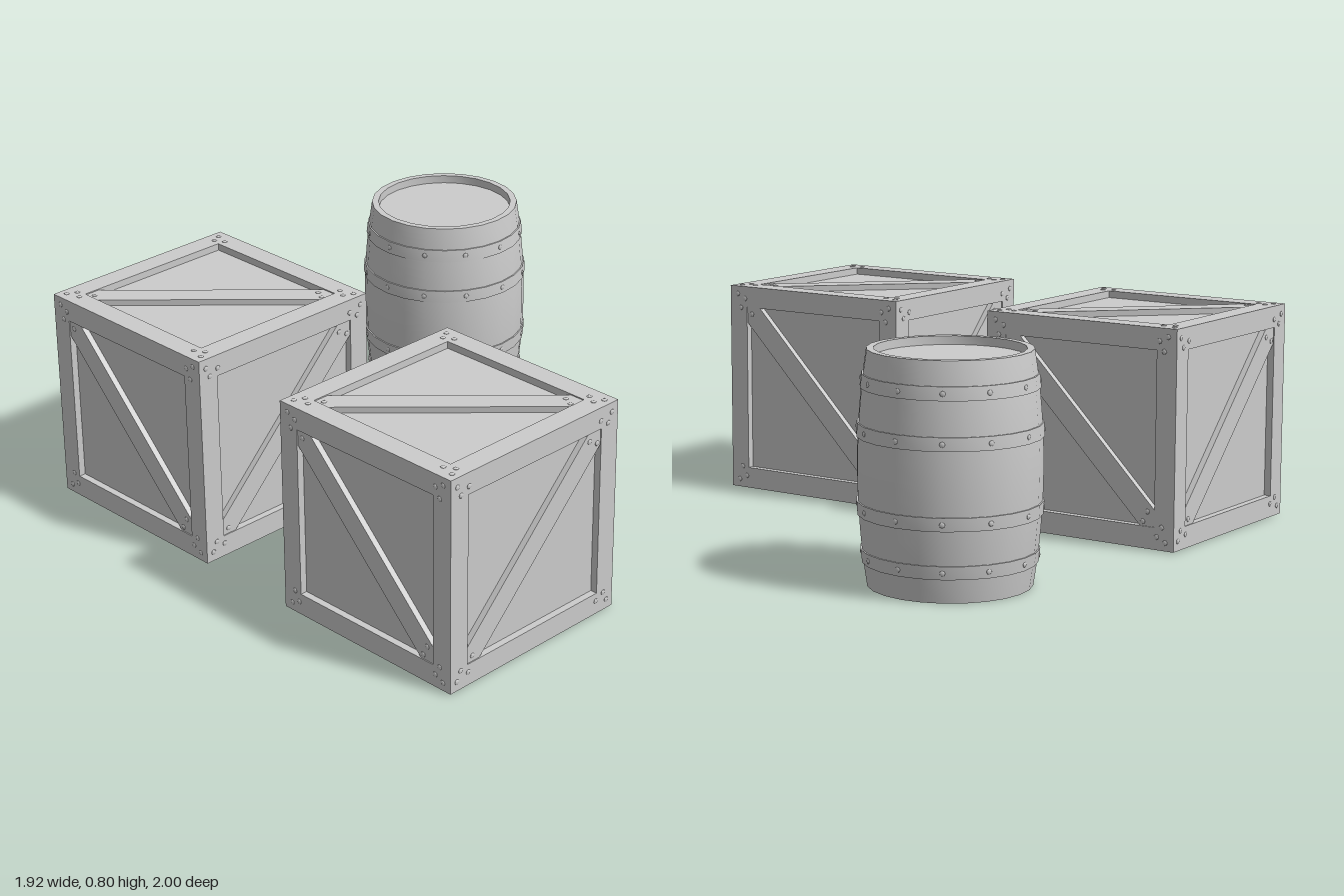
import * as THREE from 'three';
import { toCreasedNormals } from 'three/addons/utils/BufferGeometryUtils.js';

const material = new THREE.MeshStandardMaterial({ color: 0xcccccc });

const HALF = 0.396;    // crate half size, without bolt heads
const BEAM = 0.08;     // frame beam width
const PANEL = 0.37;    // half size of the recessed box
const INNER = HALF - BEAM;

// Low domed bolt head pointing along +z
const boltGeometry = new THREE.SphereGeometry(0.01, 8, 3, 0, Math.PI * 2, 0, Math.PI / 2)
  .rotateX(Math.PI / 2).scale(1, 1, 0.4);

function add(parent, name, geometry, x = 0, y = 0, z = 0) {
  const mesh = new THREE.Mesh(geometry, material);
  mesh.name = name;
  mesh.position.set(x, y, z);
  parent.add(mesh);
  return mesh;
}

// Diagonal plank clipped to the inner corners of the frame
function plankGeometry() {
  const a = INNER, b = INNER - 0.06;
  const corners = [[-a, -a], [-b, -a], [a, b], [a, a], [b, a], [-a, -b]];
  const shape = new THREE.Shape(corners.map(([x, y]) => new THREE.Vector2(x, y)));
  return new THREE.ExtrudeGeometry(shape, { depth: 0.022, bevelEnabled: false });
}

// Plank and bolts of one crate side, facing +z
function createSide(plank) {
  const side = new THREE.Group();
  side.name = 'crateSide';
  add(side, 'diagonalPlank', plank, 0, 0, PANEL);
  for (const sx of [-1, 1]) {
    for (const sy of [-1, 1]) {
      for (const [dx, dy] of [[0.03, 0.035], [0.047, 0.07], [0.083, 0.05]]) {
        add(side, 'cornerBolt', boltGeometry, sx * (HALF - dx), sy * (HALF - dy), HALF);
      }
    }
  }
  for (const [x, y] of [[-0.29, -0.295], [0.263, 0.285], [0.3, 0.267]]) {
    add(side, 'plankBolt', boltGeometry, x, y, PANEL + 0.022);
  }
  return side;
}

function createCrate() {
  const crate = new THREE.Group();
  crate.name = 'crate';
  add(crate, 'panels', new THREE.BoxGeometry(PANEL * 2, PANEL * 2, PANEL * 2));

  // Four posts and eight rails
  const post = new THREE.BoxGeometry(BEAM, HALF * 2, BEAM);
  const railX = new THREE.BoxGeometry(INNER * 2, BEAM, BEAM);
  const railZ = new THREE.BoxGeometry(BEAM, BEAM, INNER * 2);
  const c = HALF - BEAM / 2;
  for (const a of [-c, c]) {
    for (const b of [-c, c]) {
      add(crate, 'cornerPost', post, a, 0, b);
      add(crate, 'crossRail', railX, 0, a, b);
      add(crate, 'sideRail', railZ, a, b, 0);
    }
  }

  // Six sides: tilt about x, turn about y, then roll in the side's own plane
  const q = Math.PI / 2;
  const plank = plankGeometry();
  for (const [tilt, turn, roll] of [
    [0, 0, 0], [0, 2 * q, 0], [0, q, -q], [0, -q, -q], [-q, 0, -q], [q, 0, -q],
  ]) {
    const side = createSide(plank);
    side.rotation.set(tilt, turn, roll);
    crate.add(side);
  }
  return crate;
}

// Radius of the bulging barrel wall at height y
const barrelRadius = (y) => 0.312 - 0.032 * ((y - 0.4) / 0.4) ** 2;

function lathe(points) {
  const profile = points.map(([r, y]) => new THREE.Vector2(r, y));
  return toCreasedNormals(new THREE.LatheGeometry(profile, 24), 0.6);
}

function createBarrel() {
  const barrel = new THREE.Group();
  barrel.name = 'barrel';

  // Staved body with a recessed lid and base
  const wall = [];
  for (let i = 0; i <= 12; i++) wall.push([barrelRadius(i / 15), i / 15]);
  add(barrel, 'body', lathe([
    [0, 0.03], [0.255, 0.03], [0.255, 0], ...wall, [0.255, 0.8], [0.255, 0.77], [0, 0.77],
  ]));

  // Hoops with twelve bolts each
  for (const y of [0.105, 0.268, 0.532, 0.695]) {
    const low = y - 0.023, high = y + 0.023;
    add(barrel, 'hoop', lathe([
      [barrelRadius(low) - 0.006, low], [barrelRadius(low) + 0.005, low],
      [barrelRadius(high) + 0.005, high], [barrelRadius(high) - 0.006, high],
    ]));
    const r = barrelRadius(y) + 0.004;
    for (let i = 0; i < 12; i++) {
      const angle = (i * Math.PI) / 6;
      const bolt = add(barrel, 'hoopBolt', boltGeometry, r * Math.sin(angle), y, r * Math.cos(angle));
      bolt.rotation.y = angle;
    }
  }
  return barrel;
}

export function createModel() {
  const model = new THREE.Group();
  model.name = 'cratesAndBarrel';
  for (const z of [0.6, -0.6]) {
    const crate = createCrate();
    crate.position.set(-0.56, 0.4, z);
    model.add(crate);
  }
  const barrel = createBarrel();
  barrel.position.set(0.64, 0, -0.6);
  model.add(barrel);
  return model;
}
